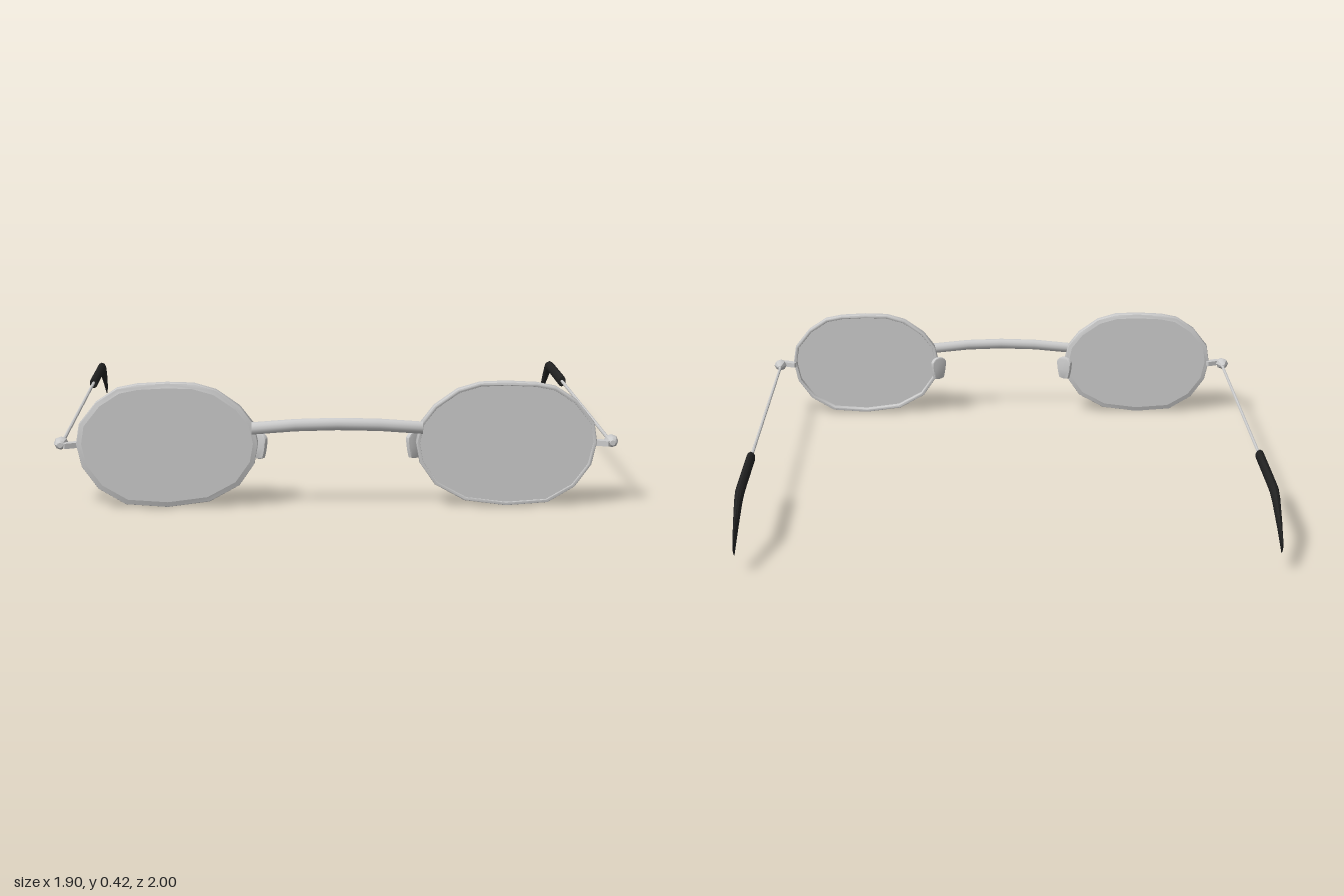
import * as THREE from 'three';
import { toCreasedNormals } from 'three/addons/utils/BufferGeometryUtils.js';

const metal = new THREE.MeshStandardMaterial({ color: 0xcccccc });
const black = new THREE.MeshStandardMaterial({ color: 0x222222 });
const V = (x, y, z) => new THREE.Vector3(x, y, z);

// Lens outline around its centre, +x towards the hinge
const OUTLINE = [
  [0.303, 0.005], [0.293, 0.072], [0.236, 0.145], [0.165, 0.192], [0.1, 0.205],
  [0, 0.21], [-0.09, 0.207], [-0.165, 0.185], [-0.243, 0.13], [-0.288, 0.072],
  [-0.303, 0.005], [-0.291, -0.063], [-0.24, -0.137], [-0.14, -0.192], [0, -0.21],
  [0.14, -0.2], [0.23, -0.147], [0.285, -0.072],
];

function outline(s, inset) {
  return OUTLINE.map(([x, y]) =>
    new THREE.Vector2(s * x * (1 - inset / 0.303), y * (1 - inset / 0.21)));
}

function add(parent, name, geometry, material, crease = 0.7) {
  const mesh = new THREE.Mesh(toCreasedNormals(geometry, crease), material);
  mesh.name = name;
  parent.add(mesh);
  return mesh;
}

// Capped tube through elliptical sections { p, u, v }, running along u x v
function loft(sections, sides = 10) {
  const pos = [], index = [], last = (sections.length - 1) * sides;
  for (const { p, u, v } of sections) {
    for (let i = 0; i < sides; i++) {
      const a = (i / sides) * Math.PI * 2;
      pos.push(...p.clone().addScaledVector(u, Math.cos(a)).addScaledVector(v, Math.sin(a)).toArray());
    }
  }
  for (let k = 0; k < last; k += sides) {
    for (let i = 0; i < sides; i++) {
      const a = k + i, b = k + (i + 1) % sides;
      index.push(a, b, a + sides, b, b + sides, a + sides);
    }
  }
  for (let i = 1; i < sides - 1; i++) {
    index.push(0, i + 1, i, last, last + i, last + i + 1);
  }
  const g = new THREE.BufferGeometry();
  g.setAttribute('position', new THREE.Float32BufferAttribute(pos, 3));
  g.setIndex(index);
  g.computeVertexNormals();
  return g;
}

function addSide(parent, s, side) {
  const group = new THREE.Group();
  group.name = side + 'Side';
  parent.add(group);

  // Rim with the lens set near its front
  const rimShape = new THREE.Shape(outline(s, 0));
  rimShape.holes.push(new THREE.Path(outline(s, 0.013)));
  const rim = add(group, 'rim', new THREE.ExtrudeGeometry(rimShape, {
    depth: 0.03, bevelThickness: 0.005, bevelSize: 0.004, bevelOffset: -0.004, bevelSegments: 2,
  }), metal);
  rim.position.set(s * 0.567, 0.219, 0.933);
  const lens = add(group, 'lens', new THREE.ExtrudeGeometry(
    new THREE.Shape(outline(s, 0.009)), { depth: 0.012, bevelEnabled: false }), metal);
  lens.position.set(s * 0.567, 0.219, 0.953);

  // Nose pad, narrower at the bottom
  const padShape = new THREE.Shape();
  padShape.moveTo(-0.018, -0.038);
  padShape.quadraticCurveTo(0, -0.045, 0.018, -0.038);
  padShape.quadraticCurveTo(0.027, -0.01, 0.029, 0.025);
  padShape.quadraticCurveTo(0.02, 0.042, 0, 0.042);
  padShape.quadraticCurveTo(-0.02, 0.042, -0.029, 0.025);
  padShape.quadraticCurveTo(-0.027, -0.01, -0.018, -0.038);
  const padGeometry = new THREE.ExtrudeGeometry(padShape, {
    depth: 0.008, bevelThickness: 0.005, bevelSize: 0.005, bevelSegments: 2, curveSegments: 4,
  }).translate(0, 0, -0.004);
  const pad = add(group, 'nosePad', padGeometry, metal);
  pad.position.set(s * 0.263, 0.207, 0.903);
  pad.rotation.y = s * 0.63;

  // End piece joining the rim to the hinge
  const endPiece = add(group, 'endPiece', new THREE.BoxGeometry(0.06, 0.018, 0.03), metal);
  endPiece.position.set(s * 0.887, 0.217, 0.939);
  endPiece.rotation.y = -s * 0.45;

  // Hinge barrel, swelling then tapering into the temple
  const barrel = [[0.957, 0.01], [0.947, 0.018], [0.93, 0.022], [0.912, 0.025], [0.893, 0.015], [0.873, 0.007]];
  add(group, 'hinge', loft(barrel.map(([z, r]) => ({
    p: V(s * 0.924, 0.219, z), u: V(0, r * 0.88, 0), v: V(r, 0, 0),
  })), 8), metal);

  // Thin temple rod
  const temple = add(group, 'temple',
    new THREE.CylinderGeometry(0.006, 0.006, 1.25, 8).rotateX(Math.PI / 2), metal, 1);
  temple.position.set(s * 0.922, 0.217, 0.265);

  // Ear tip: straight grip bending down, flattening sideways to its end
  const tip = [
    // z, y, half width, half height, tilt
    [-0.345, 0.217, 0.013, 0.018, 0], [-0.352, 0.217, 0.016, 0.022, 0],
    [-0.7, 0.217, 0.016, 0.021, 0], [-0.745, 0.215, 0.016, 0.021, 0.12],
    [-0.8, 0.2, 0.014, 0.024, 0.42], [-0.9, 0.146, 0.009, 0.027, 0.52],
    [-0.987, 0.092, 0.003, 0.028, 0.55],
  ];
  add(group, 'earTip', loft(tip.map(([z, y, w, h, t]) => ({
    p: V(s * 0.922, y, z), u: V(0, h * Math.cos(t), -h * Math.sin(t)), v: V(w, 0, 0),
  }))), black);
}

export function createModel() {
  const model = new THREE.Group();
  model.name = 'spectacles';
  addSide(model, 1, 'left');
  addSide(model, -1, 'right');

  // Bridge bowing gently up and forward between the rims
  const bridge = [-0.285, -0.14, 0, 0.14, 0.285].map((x) => {
    const k = 1 - (x / 0.285) ** 2;
    return { p: V(x, 0.276 + 0.016 * k, 0.968 + 0.012 * k), u: V(0, 0.021, 0), v: V(0, 0, 0.019) };
  });
  add(model, 'bridge', loft(bridge, 12), metal);
  return model;
}
